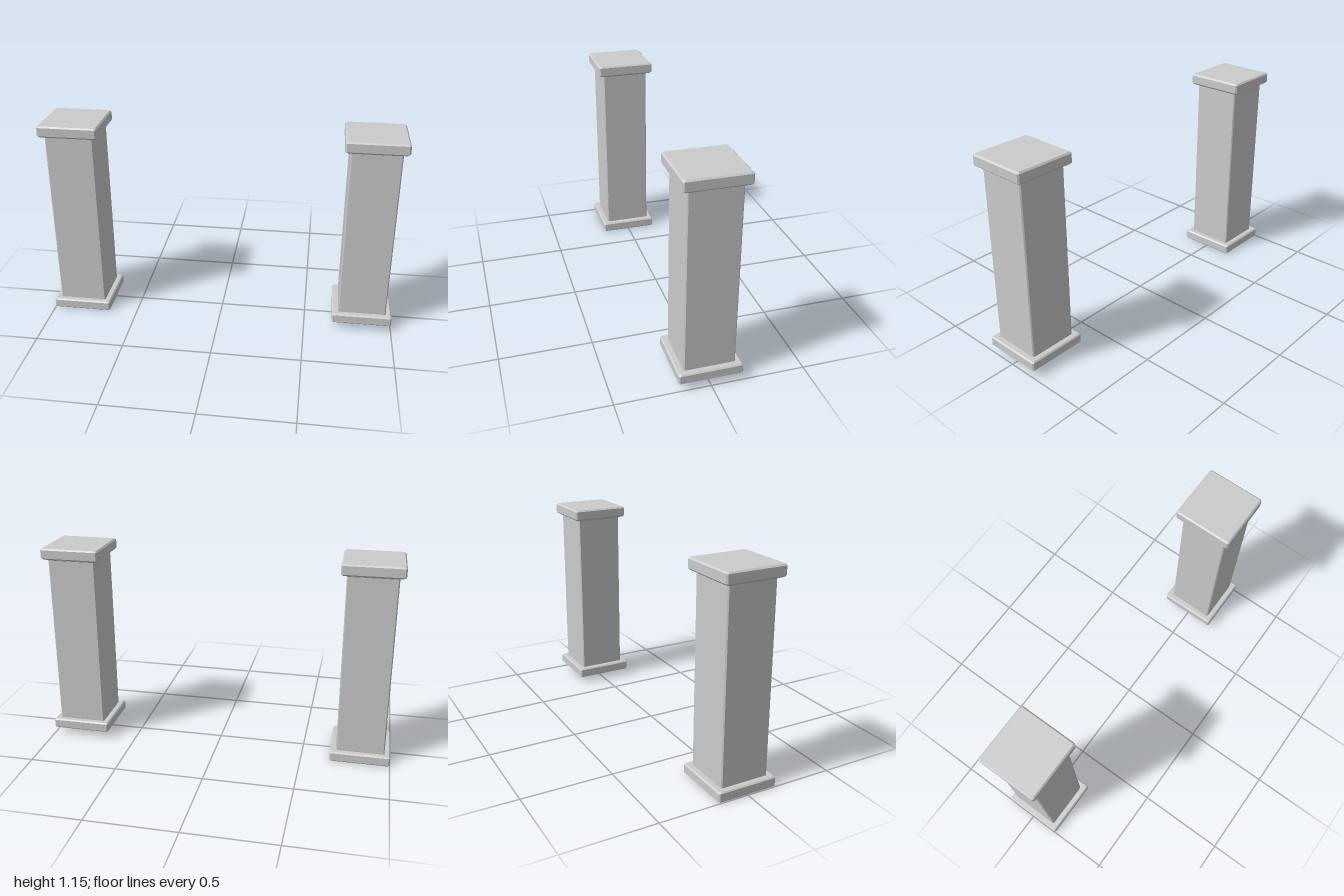
import * as THREE from 'three';

const material = new THREE.MeshStandardMaterial({ color: 0xcccccc, flatShading: true });

// Solid with a corner-cut square section, stacked from [halfWidth, y] rings (bottom to top)
function squareLoft(name, rings, cut) {
  const positions = [], index = [];
  for (const [h, y] of rings) {
    const k = h - cut;
    for (const [x, z] of [[h, -k], [h, k], [k, h], [-k, h], [-h, k], [-h, -k], [-k, -h], [k, -h]]) {
      positions.push(x, y, z);
    }
  }
  const top = (rings.length - 1) * 8;
  for (let r = 0; r < top; r += 8) {
    for (let i = 0; i < 8; i++) {
      const a = r + i, b = r + (i + 1) % 8;
      index.push(a, a + 8, b, b, a + 8, b + 8);
    }
  }
  // end faces
  for (let i = 1; i < 7; i++) {
    index.push(0, i, i + 1);
    index.push(top, top + i + 1, top + i);
  }
  const indexed = new THREE.BufferGeometry();
  indexed.setAttribute('position', new THREE.Float32BufferAttribute(positions, 3));
  indexed.setIndex(index);
  const geometry = indexed.toNonIndexed();
  geometry.computeVertexNormals();
  const mesh = new THREE.Mesh(geometry, material);
  mesh.name = name;
  return mesh;
}

// Slab with bevelled top and bottom edges
function slab(name, half, y0, y1, bevel) {
  return squareLoft(name, [
    [half - bevel, y0], [half, y0 + bevel], [half, y1 - bevel], [half - bevel, y1],
  ], bevel);
}

function pillar(name, x, bottom, top) {
  const group = new THREE.Group();
  group.name = name;
  group.position.x = x;
  const baseTop = bottom + 0.058, capBottom = top - 0.063;
  group.add(
    slab('base', 0.169, bottom, baseTop, 0.007),
    squareLoft('shaft', [[0.136, baseTop - 0.01], [0.136, capBottom + 0.01]], 0.006),
    // small moulding under the cap
    squareLoft('neck', [
      [0.136, capBottom - 0.01], [0.141, capBottom - 0.007], [0.146, capBottom + 0.01],
    ], 0.006),
    slab('cap', 0.167, capBottom, top, 0.008),
  );
  return group;
}

export function createModel() {
  const model = new THREE.Group();
  model.name = 'pillarPair';
  model.add(
    pillar('rightPillar', -0.831, 0, 1.154),
    pillar('leftPillar', 0.829, 0.037, 1.149),
  );
  return model;
}
